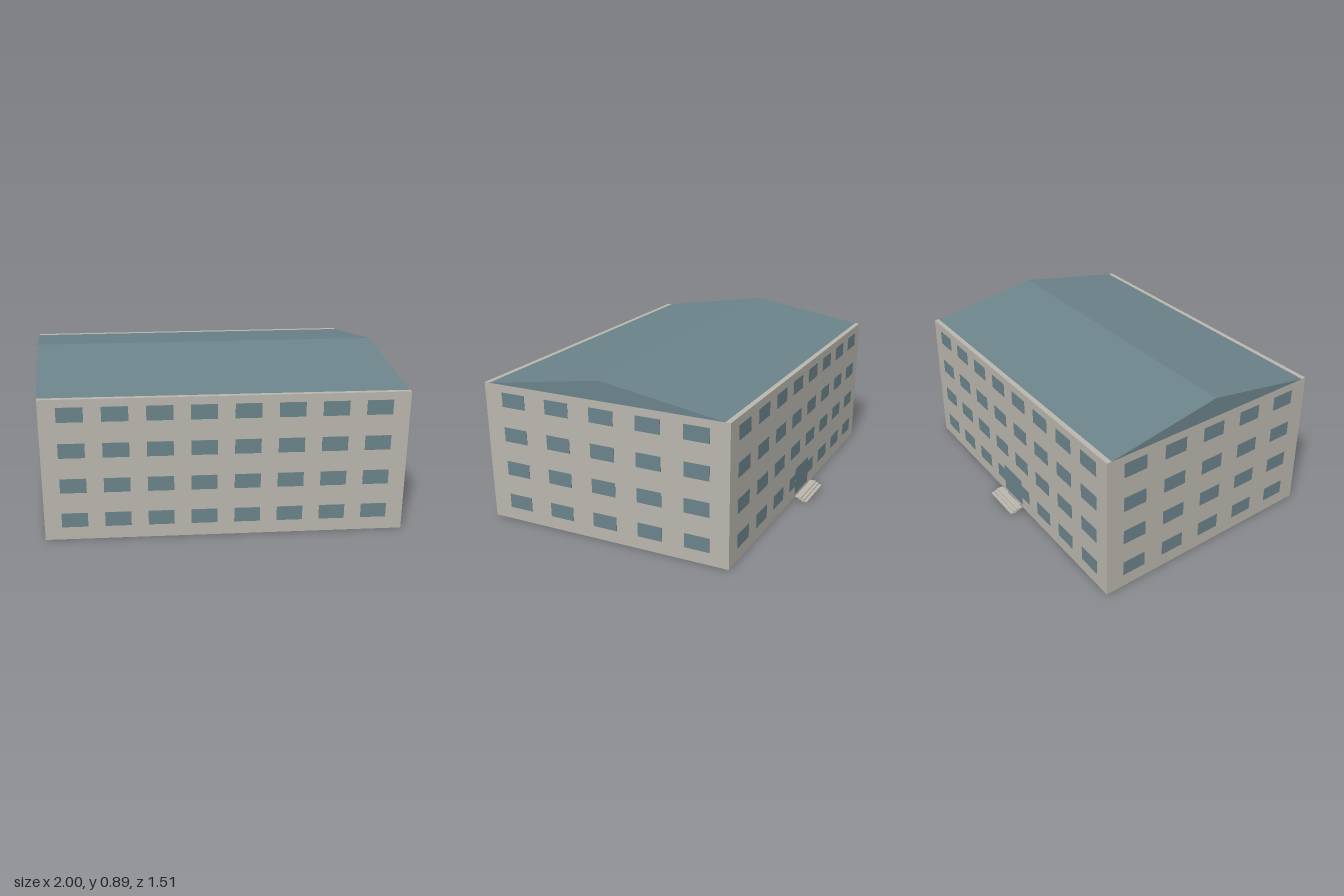
import * as THREE from 'three';
import { ConvexGeometry } from 'three/addons/geometries/ConvexGeometry.js';

const WALL_H = 0.783, RIDGE_H = 0.89, STOREYS = 4;

// Slightly skewed footprint, corners as [x, z]
const FL = [-0.92, 0.687], FR = [1.0, 0.754], BR = [0.952, -0.64], BL = [-1.0, -0.687];

export function createModel() {
  const wallMat = new THREE.MeshStandardMaterial({ color: 0xb9b6ad });
  wallMat.name = 'warm grey plaster';
  const slateMat = new THREE.MeshStandardMaterial({ color: 0x6b838a });
  slateMat.name = 'slate blue';

  const model = new THREE.Group();
  model.name = 'apartmentBlock';

  const add = (parent, name, geometry, material, x = 0, y = 0, z = 0) => {
    const mesh = new THREE.Mesh(geometry, material);
    mesh.name = name;
    mesh.position.set(x, y, z);
    parent.add(mesh);
    return mesh;
  };

  // Wall block, its flat top showing as a narrow ledge at both eaves
  const outline = new THREE.Shape([FL, FR, BR, BL].map(([x, z]) => new THREE.Vector2(x, -z)));
  const walls = new THREE.ExtrudeGeometry(outline, { depth: WALL_H, bevelEnabled: false });
  walls.rotateX(-Math.PI / 2);
  add(model, 'walls', walls, wallMat);

  // Gable roof between two triangular ends, set back from the eaves
  const gable = ([fx, fz], [bx, bz]) => {
    const inset = 0.028;
    const slide = (fx - bx) / (fz - bz) * inset;
    return [
      new THREE.Vector3(fx - slide, WALL_H, fz - inset),
      new THREE.Vector3((fx + bx) / 2, RIDGE_H, (fz + bz) / 2),
      new THREE.Vector3(bx + slide, WALL_H, bz + inset),
    ];
  };
  add(model, 'roof', new ConvexGeometry([...gable(FL, BL), ...gable(FR, BR)]), slateMat);

  // A facade group: local x runs along the wall, local z points outward
  const facade = (name, a, b, columns, margin) => {
    const dx = b[0] - a[0], dz = b[1] - a[1];
    const length = Math.hypot(dx, dz);
    const group = new THREE.Group();
    group.name = name;
    group.position.set(a[0], 0, a[1]);
    group.rotation.y = -Math.atan2(dz, dx);
    model.add(group);

    const width = 0.138, pane = new THREE.BoxGeometry(width, 0.08, 0.005);
    const pitch = (length - 2 * margin - width) / (columns - 1);
    for (let row = 0; row < STOREYS; row++) {
      for (let col = 0; col < columns; col++) {
        add(group, 'window', pane, slateMat, margin + width / 2 + col * pitch, 0.112 + row * 0.1962, 0);
      }
    }
    return { group, length };
  };
  facade('frontFacade', FL, FR, 8, 0.091);
  facade('rightFacade', FR, BR, 5, 0.105);
  facade('leftFacade', BL, FL, 5, 0.105);
  const back = facade('backFacade', BR, BL, 8, 0.091);

  // Entrance door and its thin overlapping steps at the back
  const middle = back.length / 2;
  add(back.group, 'door', new THREE.BoxGeometry(0.2, 0.16, 0.007), slateMat, middle, 0.103, 0);
  for (let i = 0; i < 3; i++) {
    add(back.group, 'step', new THREE.BoxGeometry(0.247, 0.007, 0.037), wallMat,
      middle, 0.0195 - i * 0.008, 0.034 + i * 0.0185);
  }

  return model;
}
